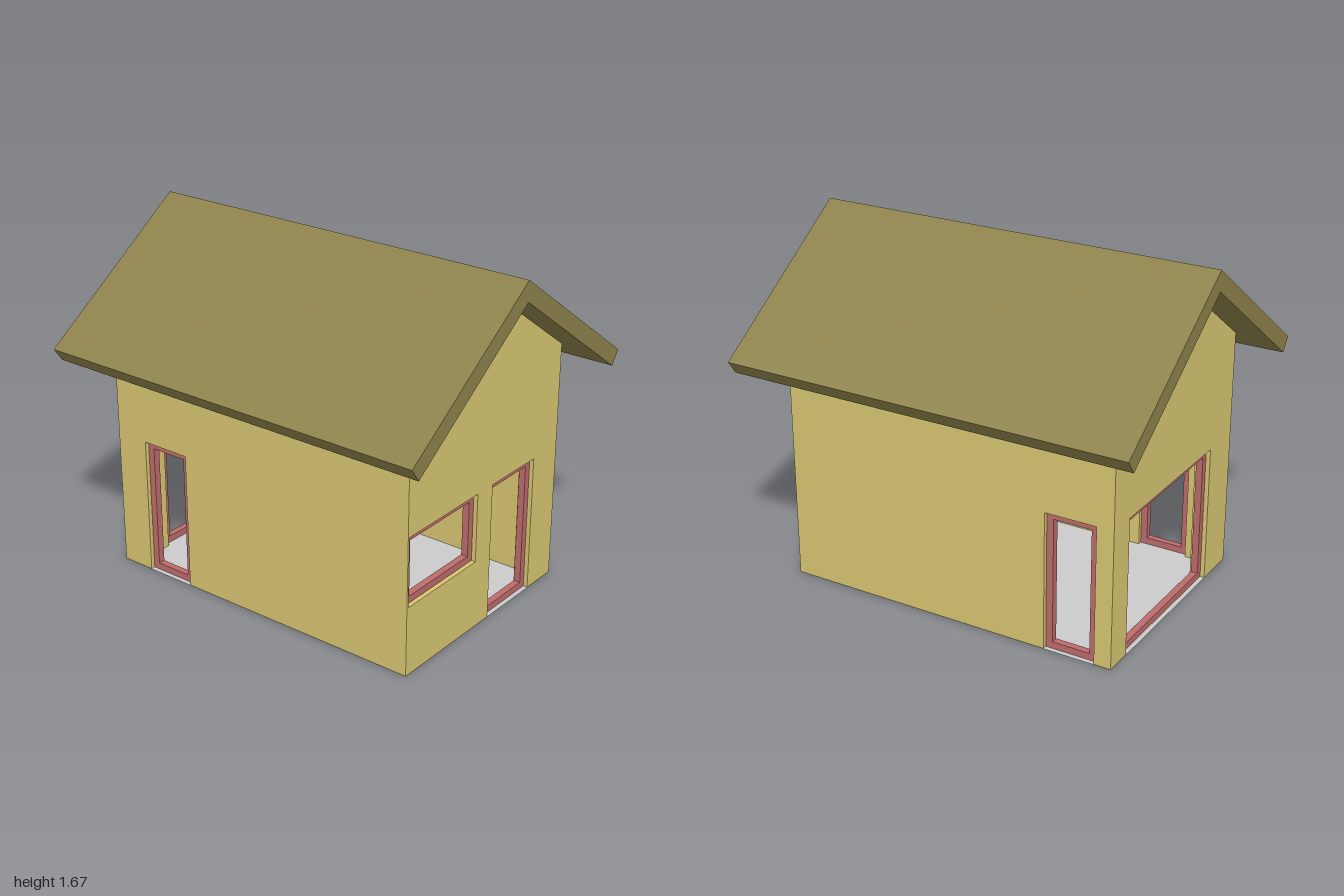
import * as THREE from 'three';

const W = 0.575, D = 0.833;      // half width and half depth of the house
const T = 0.075;                 // wall thickness
const FRAME = 0.033;             // frame bar width and depth
const BASE = 0.002;              // walls rest just above the floor sheet
const PEAK = 1.57, PITCH = 0.7;  // underside of ridge, roof slope

const wallMat = new THREE.MeshStandardMaterial({ color: 0xd8c671 });
const roofMat = new THREE.MeshStandardMaterial({ color: 0x8d824b });
const frameMat = new THREE.MeshStandardMaterial({ color: 0xbd6b6b });
const floorMat = new THREE.MeshStandardMaterial({ color: 0xcccccc, side: THREE.DoubleSide });

const points = (list) => list.map(([x, y]) => new THREE.Vector2(x, y));
const rect = (x0, x1, y0, y1) => points([[x0, y0], [x1, y0], [x1, y1], [x0, y1]]);

// Flat shape extruded symmetrically about z = 0
function slab(name, shape, depth, material) {
  const geo = new THREE.ExtrudeGeometry(shape, { depth, bevelEnabled: false });
  geo.translate(0, 0, -depth / 2);
  const mesh = new THREE.Mesh(geo, material);
  mesh.name = name;
  return mesh;
}

// Wall with openings, each lined with a frame set in mid-thickness.
// top: outline points from right to left; doors cut through the bottom edge.
function wall(name, top, halfWidth, openings) {
  const group = new THREE.Group();
  group.name = name;
  const outline = [[-halfWidth, BASE]];
  const doors = openings.filter((o) => o.y0 === BASE).sort((a, b) => a.x0 - b.x0);
  for (const { x0, x1, y1 } of doors) outline.push([x0, BASE], [x0, y1], [x1, y1], [x1, BASE]);
  outline.push([halfWidth, BASE], ...top);
  const shape = new THREE.Shape(points(outline));

  for (const { kind, x0, x1, y0, y1 } of openings) {
    if (y0 !== BASE) shape.holes.push(new THREE.Path(rect(x0, x1, y0, y1)));
    const frame = new THREE.Shape(rect(x0, x1, y0, y1));
    frame.holes.push(new THREE.Path(rect(x0 + FRAME, x1 - FRAME, y0 + FRAME, y1 - FRAME)));
    group.add(slab(kind + 'Frame', frame, FRAME, frameMat));
  }
  group.add(slab(name + 'Panel', shape, T, wallMat));
  return group;
}

const opening = (kind, x0, x1, y0 = BASE, y1 = 0.668) => ({ kind, x0, x1, y0, y1 });

export function createModel() {
  const house = new THREE.Group();
  house.name = 'house';

  // Gable walls
  const eave = PEAK - PITCH * W;
  const gable = [[W, eave], [0, PEAK], [-W, eave]];
  const front = wall('frontWall', gable, W, [
    opening('window', -0.565, -0.065, 0.335),
    opening('door', 0.05, 0.385),
  ]);
  front.position.z = D - T / 2;
  const back = wall('backWall', gable, W, [opening('largeDoor', -0.36, 0.435)]);
  back.position.z = -(D - T / 2);

  // Side walls between the gables, tops tucked into the roof (local x runs toward -z)
  const half = D - T;
  const sideTop = [[half, 1.215], [-half, 1.215]];
  const left = wall('leftWall', sideTop, half, [opening('sideDoor', 0.5, 0.75)]);
  const right = wall('rightWall', sideTop, half, [opening('sideDoor', 0.415, 0.665)]);
  [[left, 1], [right, -1]].forEach(([side, s]) => {
    side.rotation.y = Math.PI / 2;
    side.position.x = s * (W - T / 2);
  });

  // Pitched roof with square-cut eaves
  const roof = slab('roof', new THREE.Shape(points([
    [0, 1.667], [-0.792, 1.113], [-0.746, 1.048],
    [0, PEAK], [0.746, 1.048], [0.792, 1.113],
  ])), 2, roofMat);

  // Thin floor sheet
  const floor = new THREE.Mesh(new THREE.PlaneGeometry(2 * W, 2 * D), floorMat);
  floor.name = 'floor';
  floor.rotation.x = -Math.PI / 2;

  house.add(front, back, left, right, roof, floor);
  return house;
}
